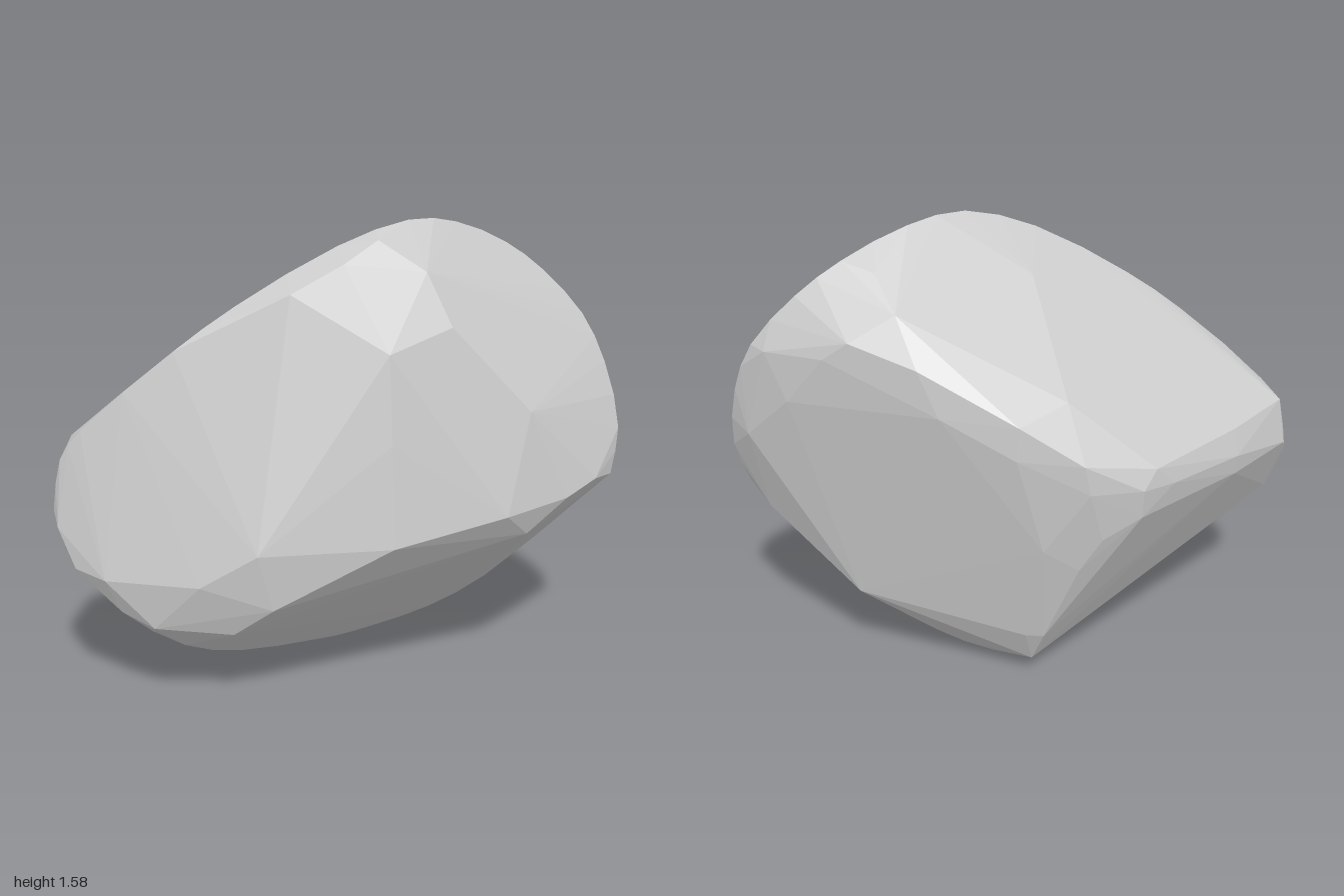
import * as THREE from 'three';
import { ConvexGeometry } from 'three/addons/geometries/ConvexGeometry.js';

const toVectors = points => points.map(p => new THREE.Vector3(...p));

// Samples a gently curved ridge through a few points
function ridge(points) {
  const curve = new THREE.CatmullRomCurve3(toVectors(points), false, 'centripetal');
  return curve.getPoints((points.length - 1) * 2);
}

export function createModel() {
  // Crest between the front and the sloping back, from left tip to right end
  const crest = ridge([
    [-1, 0.65, 0.07], [-0.97, 0.82, 0.08], [-0.9, 0.92, 0.11], [-0.6, 1.18, 0.19], [-0.4, 1.32, 0.205],
    [-0.07, 1.5, 0.2], [0.18, 1.575, 0.14], [0.38, 1.56, 0.03], [0.6, 1.48, -0.07], [0.75, 1.38, -0.09],
    [0.9, 1.22, -0.06], [0.97, 1.05, 0], [1, 0.82, 0.08], [0.96, 0.66, 0.12],
  ]);

  // Keel running under the stone
  const keel = ridge([
    [-0.95, 0.48, 0.11], [-0.8, 0.33, 0.22], [-0.6, 0.2, 0.24], [-0.4, 0.11, 0.13], [-0.12, 0.02, -0.09],
    [0, 0, -0.15], [0.15, 0.03, -0.15], [0.35, 0.11, -0.1], [0.55, 0.24, -0.04], [0.9, 0.58, 0.07],
  ]);

  // Bevelled overhang between the front and the underside: upper then lower edge
  const brow = toVectors([
    [-0.99, 0.6, 0.11], [-0.94, 0.47, 0.16], [-0.85, 0.45, 0.24], [-0.56, 0.45, 0.375], [-0.38, 0.56, 0.43],
    [0.05, 0.57, 0.485], [0.45, 0.63, 0.43], [0.7, 0.65, 0.33], [0.85, 0.68, 0.23], [0.94, 0.7, 0.14],
    [-0.7, 0.29, 0.29], [-0.45, 0.27, 0.35], [-0.33, 0.37, 0.42], [0.55, 0.54, 0.35],
  ]);

  // Bevelled back ridge around the right shoulder: upper then lower edge
  const shoulder = toVectors([
    [0.45, 1.35, -0.25], [0.6, 1.27, -0.255], [0.4, 1.2, -0.345], [0.1, 1.03, -0.445], [-0.1, 0.9, -0.485],
    [0.97, 0.92, 0.01], [0.86, 1.21, -0.11], [0.68, 1.21, -0.22], [0.34, 1.05, -0.375], [0.11, 0.92, -0.448],
  ]);

  // Bevelled back ridge out to the left tip: upper, middle and lower edge
  const backRidge = toVectors([
    [-0.35, 0.85, -0.43], [-0.7, 0.86, -0.185], [-0.93, 0.88, -0.005],
    [-0.3, 0.79, -0.465], [-0.42, 0.78, -0.4], [-0.7, 0.77, -0.22], [-0.95, 0.72, -0.03],
    [-0.3, 0.69, -0.452], [-0.7, 0.7, -0.21],
  ]);

  // Bevelled rear corner descending to the base
  const rearEdge = toVectors([
    [-0.12, 0.8, -0.485], [-0.17, 0.62, -0.455], [0.02, 0.58, -0.43], [-0.1, 0.5, -0.43], [0, 0.2, -0.345],
    [0.06, 0.2, -0.33], [0.03, 0.07, -0.28],
  ]);

  // Facet corners on the front, the sloping back and the right flank
  const facets = toVectors([
    [0.05, 0.9, 0.445], [0.05, 1.18, 0.405], [-0.07, 1.45, 0.29], [0.05, 1.52, 0.25], [0.2, 1.42, 0.29],
    [0.27, 1.25, 0.35], [0.55, 0.96, 0.345], [-0.46, 1.17, 0.245], [-0.4, 1.28, 0.24], [-0.24, 1.36, 0.285],
    [-0.02, 1.39, -0.01], [-0.07, 1.07, -0.36], [0.5, 1.45, -0.13],
    [0.61, 0.3, -0.1], [0.8, 1.05, -0.145], [0.94, 0.9, -0.03],
  ]);

  const geometry = new ConvexGeometry([
    ...crest, ...keel, ...brow, ...shoulder, ...backRidge, ...rearEdge, ...facets,
  ]);
  const stone = new THREE.Mesh(geometry, new THREE.MeshStandardMaterial({ color: 0xcccccc, flatShading: true }));
  stone.name = 'stone';

  const model = new THREE.Group();
  model.name = 'boulder';
  model.add(stone);
  return model;
}
